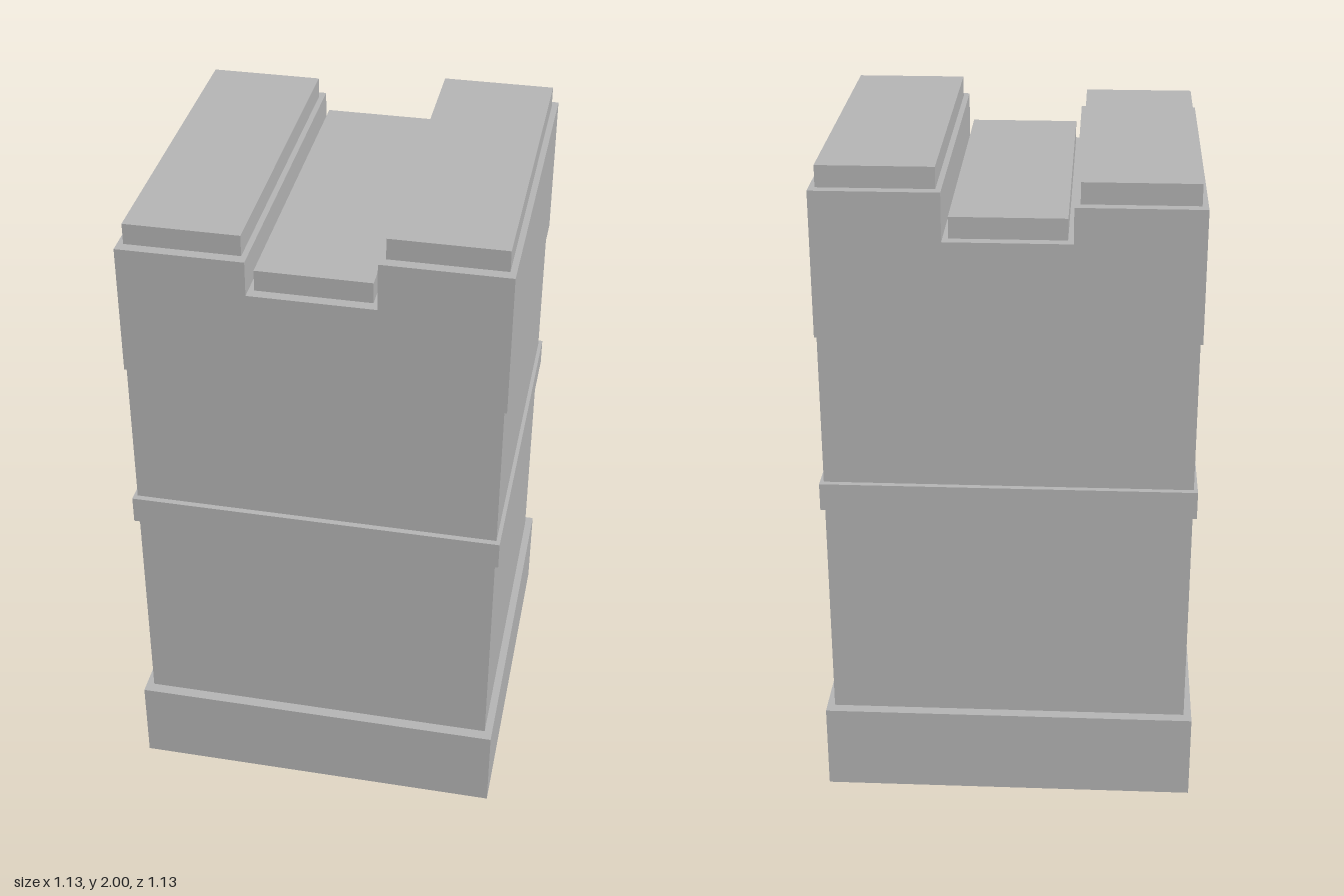
import * as THREE from 'three';

export function createModel() {
  const model = new THREE.Group();
  model.name = 'blockTower';
  const stone = new THREE.MeshStandardMaterial({ color: 0xb4b4b4 });
  stone.name = 'grey stone';

  function add(name, geometry) {
    const mesh = new THREE.Mesh(geometry, stone);
    mesh.name = name;
    model.add(mesh);
  }

  // Box centred on x, spanning y0 to y1
  function block(name, width, depth, y0, y1, x = 0) {
    const geometry = new THREE.BoxGeometry(width, y1 - y0, depth);
    geometry.translate(x, (y0 + y1) / 2, 0);
    add(name, geometry);
  }

  // Plinth, shaft and belt course
  block('plinth', 1.132, 1.132, 0, 0.268);
  block('shaft', 1.085, 1.064, 0.268, 1.505);
  block('belt', 1.108, 1.1, 0.963, 1.048);

  // Upper section: three steps with a low middle channel
  const halfWidth = 0.55, channel = 0.183, depth = 1.064;
  const heights = [1.901, 1.796, 1.938];
  const profile = new THREE.Shape([
    [-halfWidth, 1.505], [halfWidth, 1.505],
    [halfWidth, heights[2]], [channel, heights[2]],
    [channel, heights[1]], [-channel, heights[1]],
    [-channel, heights[0]], [-halfWidth, heights[0]],
  ].map(([x, y]) => new THREE.Vector2(x, y)));
  const upper = new THREE.ExtrudeGeometry(profile, { depth, bevelEnabled: false });
  upper.translate(0, 0, -depth / 2);
  add('upperSection', upper);

  // Inset cap slab on each step
  ['rightCap', 'middleCap', 'leftCap'].forEach((name, i) => {
    block(name, 0.333, 1, heights[i], heights[i] + 0.063, (i - 1) * 0.366);
  });

  return model;
}
